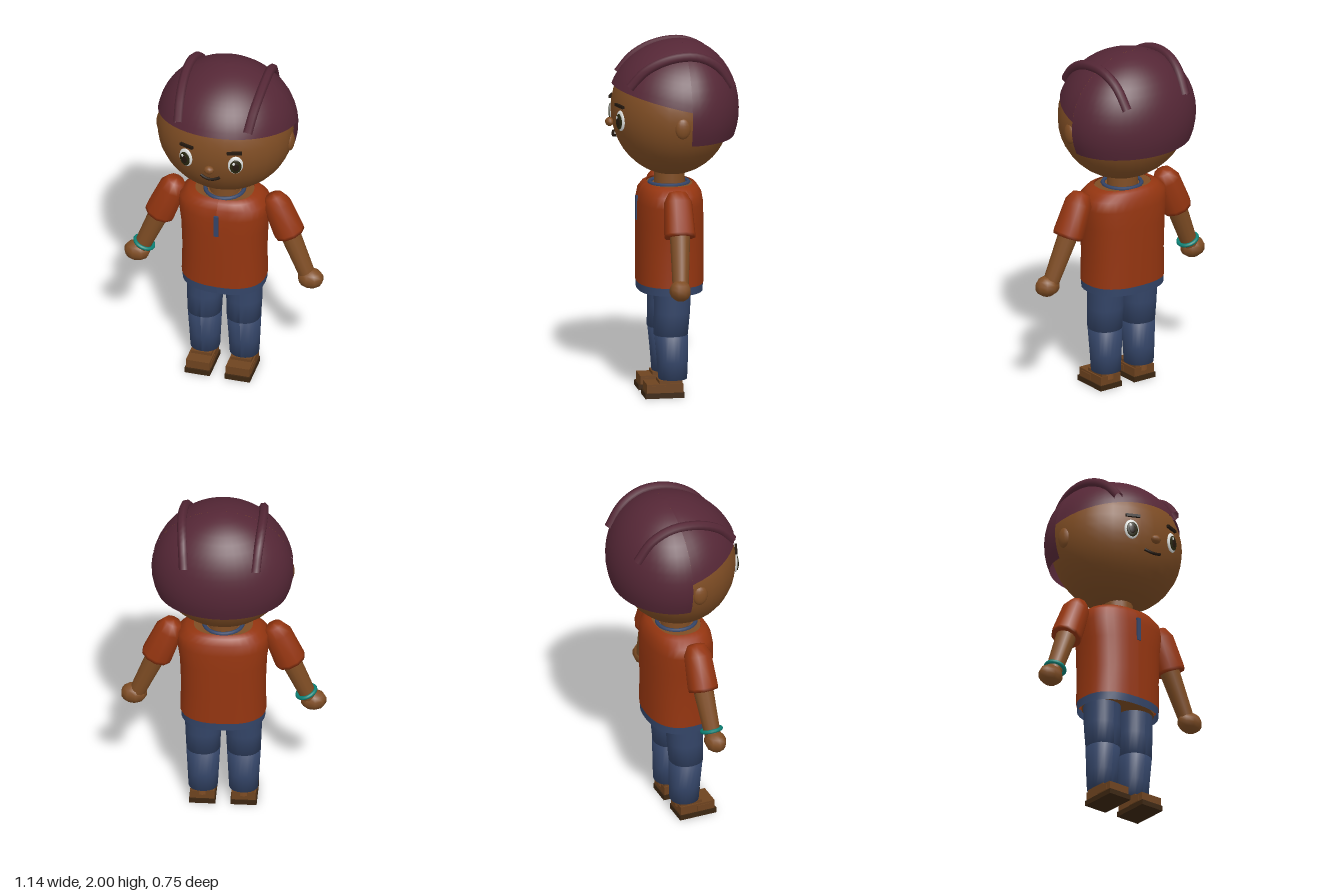
import * as THREE from 'three';

const mat = (name, color, side = THREE.FrontSide) => {
  const m = new THREE.MeshStandardMaterial({ color, side });
  m.name = name;
  return m;
};

export function createModel() {
  const skin = mat('skin', 0x7f4d24);
  const hair = mat('hair', 0x552736, THREE.DoubleSide);
  const cloth = mat('shirt', 0x943510, THREE.DoubleSide);
  const denim = mat('denim', 0x344568, THREE.DoubleSide);
  const teal = mat('teal', 0x0c8276);
  const leather = mat('leather', 0x6e431f);
  const rubber = mat('sole', 0x3c2611);
  const white = mat('eyeWhite', 0xdcdedb);
  const iris = mat('iris', 0x28270f);
  const dark = mat('dark', 0x23180f);

  const model = new THREE.Group();
  model.name = 'child';
  const add = (name, geo, material, x = 0, y = 0, z = 0, parent = model) => {
    const m = new THREE.Mesh(geo, material);
    m.name = name;
    m.position.set(x, y, z);
    parent.add(m);
    return m;
  };
  const box = (w, h, d) => new THREE.BoxGeometry(w, h, d);
  const ball = (rx, ry, rz, seg = 16) =>
    new THREE.SphereGeometry(1, seg, Math.ceil(seg * 0.7)).scale(rx, ry, rz);

  // Surface through rows of points; rows may differ in nothing but position
  const grid = (rows, cols, point) => {
    const pos = [], idx = [];
    for (let j = 0; j <= rows; j++)
      for (let i = 0; i <= cols; i++) pos.push(...point(i / cols, j / rows, j));
    for (let j = 0; j < rows; j++)
      for (let i = 0; i < cols; i++) {
        const a = j * (cols + 1) + i, b = a + 1, c = a + cols + 1, d = c + 1;
        idx.push(a, c, b, b, c, d);
      }
    const g = new THREE.BufferGeometry();
    g.setAttribute('position', new THREE.Float32BufferAttribute(pos, 3));
    g.setIndex(idx);
    g.computeVertexNormals();
    return g;
  };
  // Loft from top to bottom over rings [y, rx, rz, cx, cz], squared-off ellipses
  const loft = (rings, power = 2, seg = 24) => grid(rings.length - 1, seg, (u, v, j) => {
    const [y, rx, rz, cx = 0, cz = 0] = rings[j];
    const a = u * Math.PI * 2, s = Math.sin(a), c = Math.cos(a);
    const bulge = (t) => Math.sign(t) * Math.abs(t) ** (2 / power);
    return [cx + rx * bulge(s), y, cz + rz * bulge(c)];
  });
  const up = new THREE.Vector3(0, 1, 0);
  // Aim a mesh's y axis from point a to point b
  const aim = (mesh, a, b) => mesh.quaternion.setFromUnitVectors(up, b.clone().sub(a).normalize());

  // Head and neck
  const HY = 1.61;
  add('head', ball(0.383, 0.367, 0.336, 28), skin, 0, HY, 0);
  add('neck', new THREE.CylinderGeometry(0.085, 0.088, 0.14, 16), skin, 0, 1.23, 0.01);
  add('nose', ball(0.03, 0.025, 0.024, 10), skin, 0, 1.548, 0.348);
  const smile = new THREE.QuadraticBezierCurve3(
    new THREE.Vector3(-0.055, 1.484, 0.315), new THREE.Vector3(0, 1.456, 0.338),
    new THREE.Vector3(0.055, 1.484, 0.315));
  add('mouth', new THREE.TubeGeometry(smile, 12, 0.008, 6), dark);

  for (const s of [1, -1]) {
    add('ear', ball(0.025, 0.06, 0.044, 14), skin, s * 0.372, 1.575, -0.003);
    const eye = new THREE.Group();
    eye.name = 'eye';
    eye.position.set(s * 0.143, 1.582, 0.309);
    eye.rotation.y = s * 0.34;
    model.add(eye);
    add('eyeball', ball(0.043, 0.058, 0.014, 18), white, 0, 0, 0, eye);
    add('iris', ball(0.033, 0.044, 0.007, 16), iris, 0, -0.004, 0.011, eye);
    add('pupil', ball(0.019, 0.027, 0.004, 12), dark, 0, -0.004, 0.016, eye);
    add('glint', ball(0.008, 0.01, 0.003, 8), white, -0.012, 0.018, 0.018, eye);
    const brow = add('eyebrow', box(0.084, 0.016, 0.014), dark, s * 0.138, 1.665, 0.315);
    brow.rotation.set(0, s * 0.36, s * -0.04);
  }

  // Hair cap: fringe patch in front, longer patch behind the ears
  const CY = 1.62, CZ = -0.055, RX = 0.396, RY = 0.38, FRONT = 0.413, BACK = 0.32;
  const hairPoint = (phi, y) => {
    const r = Math.sqrt(Math.max(0, 1 - ((y - CY) / RY) ** 2)), c = Math.cos(phi);
    return [RX * r * Math.sin(phi), y, CZ + (c > 0 ? FRONT : BACK) * r * c];
  };
  const hairPatch = (start, edge) => grid(14, 24, (u, v) => {
    const phi = start + u * Math.PI;
    const end = Math.acos((edge(phi) - CY) / RY);
    return hairPoint(phi, CY + RY * Math.cos(v * end));
  });
  const fringe = (phi) => {
    let y = 1.7;
    for (let i = 0; i < 4; i++) y = 1.667 + 0.235 * (hairPoint(phi, y)[2] - CZ);
    return y;
  };
  add('hairFront', hairPatch(-Math.PI / 2, fringe), hair);
  add('hairBack', hairPatch(Math.PI / 2, () => 1.47), hair);

  // Raised braids running front to back over the cap
  for (const s of [1, -1]) {
    const pts = [];
    for (let i = 0; i <= 8; i++) {
      const z = 0.265 - i * 0.0715;
      const x = 0.225 - 0.3 * (z + 0.02) ** 2;
      const dz = (z - CZ) / (z > CZ ? FRONT : BACK);
      const h = Math.sqrt(Math.max(0.08, 1 - (x / RX) ** 2 - dz * dz));
      pts.push(new THREE.Vector3(s * x, CY + RY * h + 0.016, z));
    }
    const path = new THREE.CatmullRomCurve3(pts);
    add('braid', new THREE.TubeGeometry(path, 20, 0.027, 7), hair);
  }

  // Torso and shirt
  const CT = 0.011;
  add('shirt', loft([
    [1.197, 0.165, 0.125, 0, CT], [1.185, 0.205, 0.15, 0, CT], [1.15, 0.25, 0.172, 0, CT],
    [1.09, 0.258, 0.183, 0, CT], [0.98, 0.243, 0.185, 0, CT], [0.8, 0.236, 0.185, 0, CT],
    [0.635, 0.24, 0.185, 0, CT]], 2.4, 32), cloth);
  add('shoulders', new THREE.CylinderGeometry(1, 1, 0.06, 24).scale(0.172, 1, 0.13), skin, 0, 1.16, CT);
  add('collar', new THREE.TorusGeometry(0.108, 0.012, 6, 24).rotateX(Math.PI / 2), denim, 0, 1.193, 0.013);
  add('placket', box(0.026, 0.135, 0.012), denim, 0, 1.052, 0.195);
  add('waistband', loft([[0.642, 0.236, 0.183, 0, CT], [0.59, 0.235, 0.181, 0, CT]], 2.4, 32), denim);
  add('pelvis', new THREE.CylinderGeometry(1, 1, 0.05, 24).scale(0.222, 1, 0.168), skin, 0, 0.632, CT);

  for (const s of [1, -1]) {
    // Arms
    const cuff = new THREE.Vector3(s * 0.375, 0.955, 0.014);
    const shoulder = new THREE.Vector3(s * 0.285, 1.18, 0.012);
    const wrist = new THREE.Vector3(s * 0.478, 0.705, 0.028);
    const profile = [[0, 0.012], [0.086, 0], [0.088, 0.02], [0.079, 0.2], [0.05, 0.255], [0, 0.265]]
      .map(([r, h]) => new THREE.Vector2(r, h));
    const sleeve = add('sleeve', new THREE.LatheGeometry(profile, 10), cloth, cuff.x, cuff.y, cuff.z);
    aim(sleeve, cuff, shoulder);
    const mid = cuff.clone().add(wrist).multiplyScalar(0.5);
    const arm = add('forearm', new THREE.CylinderGeometry(0.058, 0.045, cuff.distanceTo(wrist) + 0.05, 12),
      skin, mid.x, mid.y, mid.z);
    aim(arm, wrist, cuff);
    add('hand', ball(0.075, 0.06, 0.061, 9), skin, s * 0.5, 0.682, 0.033);
    if (s < 0) {
      const band = add('bracelet', new THREE.TorusGeometry(0.055, 0.011, 8, 20).rotateX(Math.PI / 2),
        teal, -0.461, 0.737, 0.026);
      aim(band, wrist, cuff);
    }

    // Trouser legs, split at the knee
    const x = s * 0.113;
    add('thigh', loft([[0.625, 0.102, 0.104, x, 0.012], [0.48, 0.1, 0.1, x, 0.015],
      [0.352, 0.095, 0.095, x, 0.022], [0.352, 0, 0, x, 0.022]], 2.2), denim);
    add('shin', loft([[0.347, 0, 0, x, 0.02], [0.347, 0.095, 0.093, x, 0.02],
      [0.2, 0.087, 0.086, x, 0.013], [0.1, 0.082, 0.08, x, 0.011], [0.1, 0, 0, x, 0.011]], 2.2), denim);

    // Shoes
    const f = s * 0.115;
    add('ankle', new THREE.CylinderGeometry(0.055, 0.055, 0.06, 12), skin, f, 0.085, 0.012);
    add('sole', box(0.146, 0.03, 0.22), rubber, f, 0.015, 0.066);
    add('shoe', box(0.136, 0.05, 0.204), leather, f, 0.055, 0.064);
    add('shoeTop', box(0.118, 0.018, 0.13), leather, f, 0.088, 0.03);
    add('shoeStrap', box(0.144, 0.034, 0.08), leather, f, 0.052, 0.1);
  }
  return model;
}
